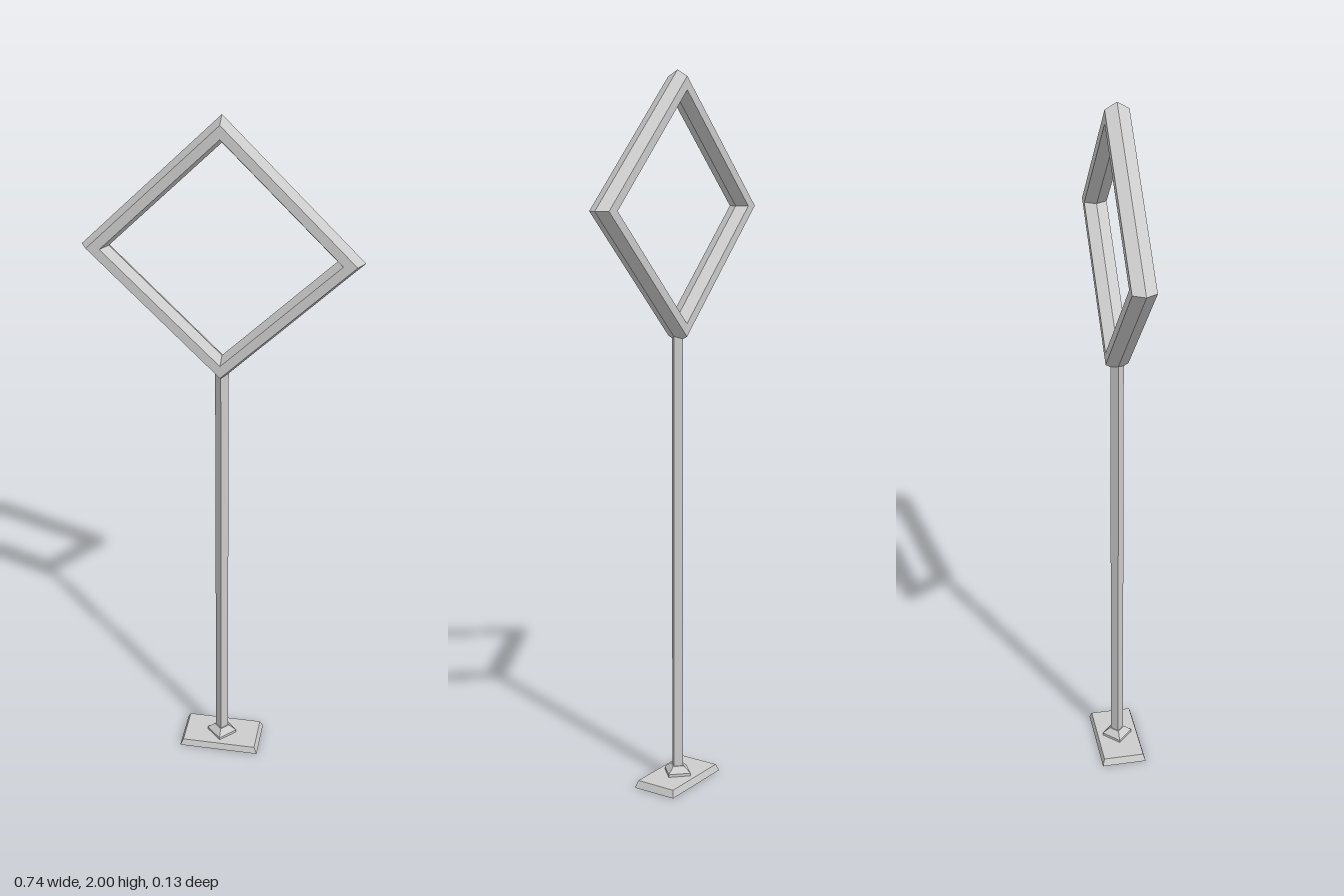
import * as THREE from 'three';

export function createModel() {
  const group = new THREE.Group();
  const material = new THREE.MeshStandardMaterial({ color: 0xcccccc, flatShading: true });
  const add = (name, geometry, y) => {
    const mesh = new THREE.Mesh(geometry, material);
    mesh.name = name;
    mesh.position.y = y;
    group.add(mesh);
    return mesh;
  };

  // Rectangular foot plate with sloping sides
  const plate = new THREE.BoxGeometry(0.24, 0.02, 0.132);
  const p = plate.attributes.position;
  for (let i = 0; i < p.count; i++) {
    if (p.getY(i) > 0) {
      p.setX(i, Math.sign(p.getX(i)) * 0.111);
      p.setZ(i, Math.sign(p.getZ(i)) * 0.06);
    }
  }
  add('footPlate', plate, 0.01);

  // Four-sided collar, corners facing the axes
  const profile = [[0, 0], [0.045, 0], [0.045, 0.008], [0.022, 0.025], [0, 0.025]]
    .map(([r, y]) => new THREE.Vector2(r, y));
  add('collar', new THREE.LatheGeometry(profile, 4), 0.02);

  // Square pole turned by 45 degrees
  add('pole', new THREE.CylinderGeometry(0.0185, 0.0185, 1.27, 4), 0.665);

  // Diamond frame with a hexagonal bar section
  const frame = add('diamondFrame', new THREE.TorusGeometry(0.332, 0.036, 6, 4), 1.636);
  frame.scale.y = 0.989;

  return group;
}
